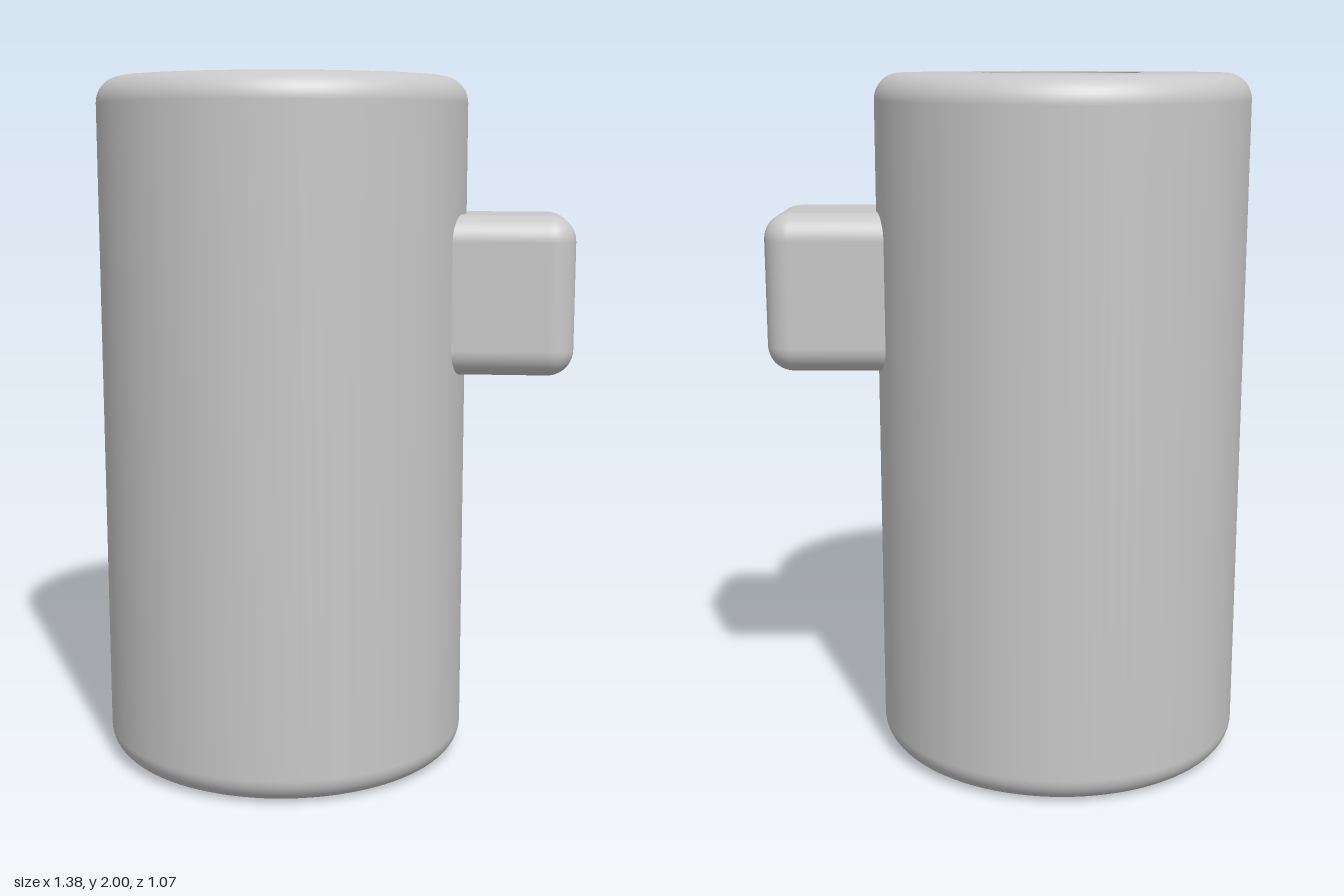
import * as THREE from 'three';
import { RoundedBoxGeometry } from 'three/addons/geometries/RoundedBoxGeometry.js';

const SIDES = 96;

export function createModel() {
  const group = new THREE.Group();
  group.name = 'borePeg';
  const grey = new THREE.MeshStandardMaterial({ color: 0xc8c8c8 });
  grey.name = 'light grey';

  const radius = 0.535, height = 2, fillet = 0.075;
  const boreRadius = 0.232, boreFloor = 0.15, axisX = -0.155;

  const add = (name, geometry, x, y) => {
    const mesh = new THREE.Mesh(geometry, grey);
    mesh.name = name;
    mesh.position.set(x, y, 0);
    group.add(mesh);
  };
  const lathe = (pairs) =>
    new THREE.LatheGeometry(pairs.map(([r, y]) => new THREE.Vector2(r, y)), SIDES);

  // Quarter-circle edge between a flat end and the side
  const arc = (centreY, from) => Array.from({ length: 13 }, (_, i) => {
    const a = from + (i / 12) * Math.PI / 2;
    return [radius - fillet + fillet * Math.cos(a), centreY + fillet * Math.sin(a)];
  });

  // Outer shell: closed base, rounded rims, ring-shaped top
  const inner = radius - fillet - 0.004;
  add('body', lathe([
    [0, 0], [inner, 0],
    ...arc(fillet, -Math.PI / 2),
    ...arc(height - fillet, 0),
    [inner, height], [boreRadius, height],
  ]), axisX, 0);

  // Blind hole down the axis
  add('boreWall', lathe([[boreRadius, height], [boreRadius, boreFloor]]), axisX, 0);
  add('boreFloor', lathe([[boreRadius, boreFloor], [0, boreFloor]]), axisX, 0);

  // Rounded lug, rooted inside the solid wall
  const lugStart = 0.2, lugEnd = 0.69;
  add('sideLug', new RoundedBoxGeometry(lugEnd - lugStart, 0.455, 0.38, 6, 0.075),
    (lugStart + lugEnd) / 2, 1.387);

  return group;
}
